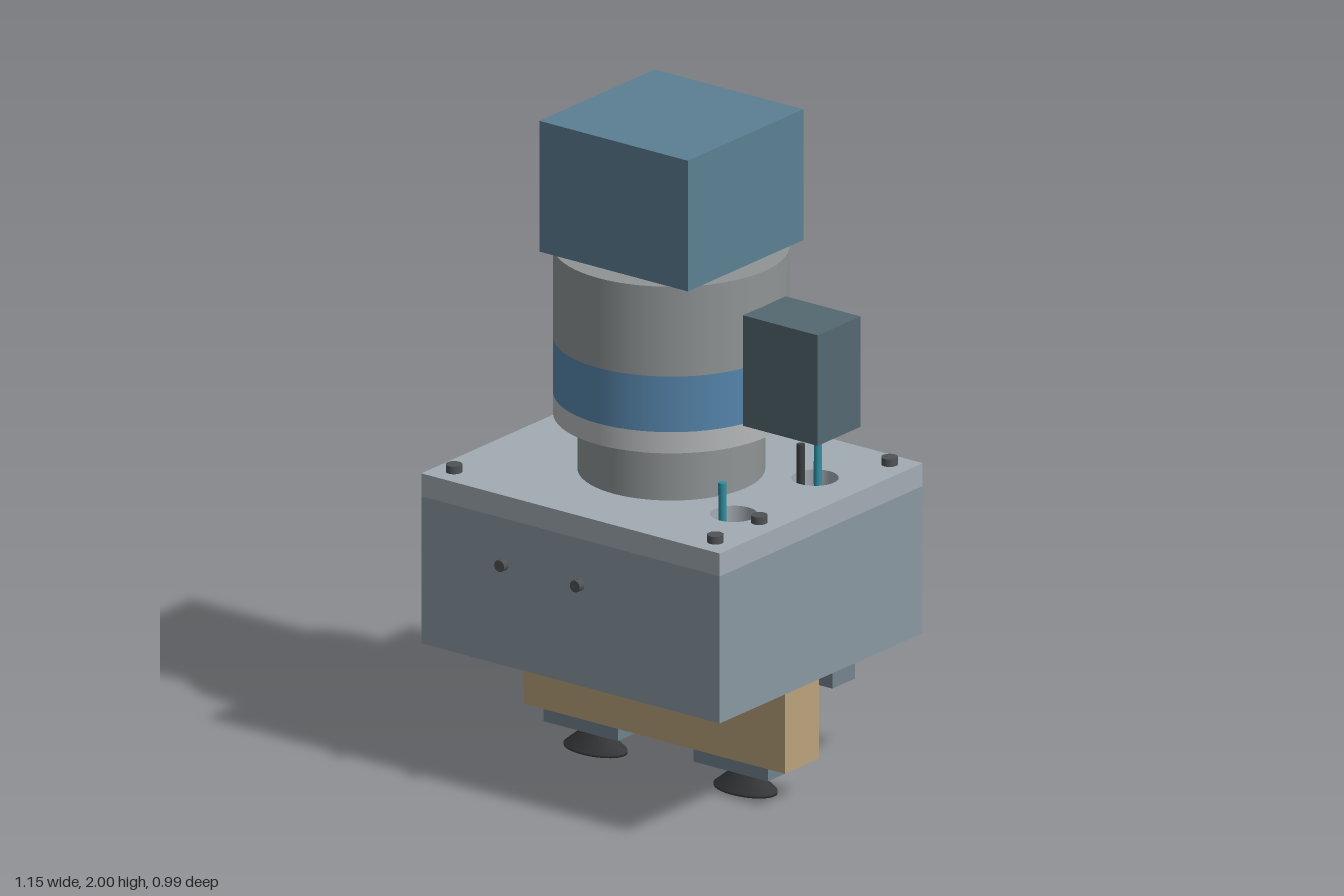
import * as THREE from 'three';

const CX = -0.035; // shared axis of motor and gripper

const mat = (color) => new THREE.MeshStandardMaterial({ color });
const M = {
  body: mat(0x8a98a2), plate: mat(0xa3abb3), steel: mat(0x8f9494), flange: mat(0xb5b8ba),
  band: mat(0x5685ab), cube: mat(0x5b7f93), terminal: mat(0x546871), wood: mat(0xbba37c),
  lightWood: mat(0xdcc79c), pad: mat(0x6f828c), bracket: mat(0x76838d), bolt: mat(0x505356),
  rubber: mat(0x343638), hole: mat(0x3a3c3e), hose: mat(0x2f8fa3), cable: mat(0x3c3f41), fitting: mat(0x4a86ad),
};

export function createModel() {
  const model = new THREE.Group();

  const add = (name, geometry, material, x = 0, y = 0, z = 0) => {
    const mesh = new THREE.Mesh(geometry, material);
    mesh.name = name;
    mesh.position.set(x, y, z);
    model.add(mesh);
    return mesh;
  };
  // box and upright cylinder given by their extents
  const box = (name, m, x0, x1, y0, y1, z0, z1) =>
    add(name, new THREE.BoxGeometry(x1 - x0, y1 - y0, z1 - z0), m, (x0 + x1) / 2, (y0 + y1) / 2, (z0 + z1) / 2);
  const cyl = (name, m, r, y0, y1, x, z, sides = 24) =>
    add(name, new THREE.CylinderGeometry(r, r, y1 - y0, sides), m, x, (y0 + y1) / 2, z);
  // flat slab seen from above, with holes, between two heights
  const slab = (name, m, x0, x1, z0, z1, y0, y1, cut) => {
    const s = new THREE.Shape([[x0, -z1], [x1, -z1], [x1, -z0], [x0, -z0]].map(([a, b]) => new THREE.Vector2(a, b)));
    s.holes.push(...cut);
    const g = new THREE.ExtrudeGeometry(s, { depth: y1 - y0, bevelEnabled: false, curveSegments: 32 });
    return add(name, g.rotateX(-Math.PI / 2), m, 0, y0, 0);
  };
  const roundCut = (x, z, r) => new THREE.Path().absarc(x, -z, r, 0, Math.PI * 2, true);

  // housing: walls, floor and a lid with two cable openings
  const wall = new THREE.Path([[-0.545, -0.445], [-0.545, 0.445], [0.48, 0.445], [0.48, -0.445]]
    .map(([a, b]) => new THREE.Vector2(a, b)));
  slab('housingWalls', M.body, -0.575, 0.51, -0.475, 0.475, 0.4, 0.85, [wall]);
  box('housingFloor', M.body, -0.55, 0.485, 0.4, 0.43, -0.45, 0.45);
  slab('housingLid', M.plate, -0.575, 0.51, -0.475, 0.475, 0.85, 0.92,
    [roundCut(0.34, -0.19, 0.068), roundCut(0.34, 0.19, 0.068)]);
  box('innerCarrier', M.body, -0.5, 0.44, 0.43, 0.66, -0.15, 0.15);
  for (const [x, z] of [[0.283, -0.21], [0.395, -0.21]]) cyl('innerBolt', M.bolt, 0.024, 0.43, 0.5, x, z);
  for (const z of [-0.135, 0.13]) cyl('innerBolt', M.bolt, 0.024, 0.66, 0.69, 0.37, z);

  // lid bolts
  for (const [x, z] of [[-0.51, -0.41], [0.44, -0.41], [-0.51, -0.205], [0.44, 0.2], [-0.51, 0.405], [0.44, 0.405]])
    cyl('lidBolt', M.bolt, 0.024, 0.91, 0.943, x, z);

  // side screws, front and back
  for (const [x, s] of [[-0.275, 1], [0, 1], [-0.07, -1], [0.2, -1]])
    add('sideScrew', new THREE.CylinderGeometry(0.018, 0.018, 0.04, 20).rotateX(Math.PI / 2), M.bolt, x, 0.71, s * 0.477);

  // hoses and cable rising out of the openings
  const line = (name, m, r, pts) => {
    const curve = new THREE.CatmullRomCurve3(pts.map((p) => new THREE.Vector3(...p)));
    add(name, new THREE.TubeGeometry(curve, 32, r, 12), m);
    const [x, y, z] = pts[pts.length - 1];
    cyl(name + 'End', m, r, y - 0.004, y, x, z, 12);
  };
  line('frontHose', M.hose, 0.012, [[0.12, 0.69, 0.22], [0.27, 0.72, 0.22], [0.322, 0.82, 0.222], [0.325, 0.92, 0.224], [0.325, 1.023, 0.225]]);
  line('backHose', M.hose, 0.012, [[0.34, 0.55, -0.21], [0.338, 0.7, -0.211], [0.33, 0.9, -0.216], [0.326, 1.023, -0.222]]);
  line('backCable', M.cable, 0.012, [[0.2, 0.7, -0.08], [0.275, 0.74, -0.14], [0.305, 0.83, -0.165], [0.307, 0.92, -0.166], [0.307, 1.023, -0.166]]);
  cyl('hoseFitting', M.fitting, 0.036, 0.5, 0.58, 0.34, -0.21, 6);
  cyl('fittingNeck', M.fitting, 0.022, 0.58, 0.64, 0.34, -0.21);

  // motor stack
  cyl('motorNeck', M.steel, 0.27, 0.92, 1.09, CX, 0, 64);
  cyl('motorFlange', M.flange, 0.34, 1.09, 1.155, CX, 0, 64);
  cyl('motorBand', M.band, 0.34, 1.155, 1.325, CX, 0, 64);
  cyl('motorBody', M.steel, 0.34, 1.325, 1.6, CX, 0, 64);
  for (let i = 0; i < 4; i++) {
    const a = (i * Math.PI) / 2;
    cyl('flangeHole', M.hole, 0.025, 1.088, 1.1, CX + 0.305 * Math.cos(a), 0.305 * Math.sin(a));
  }
  box('motorCap', M.cube, -0.305, 0.235, 1.6, 2, -0.27, 0.27);
  box('terminalBox', M.terminal, 0.303, 0.575, 1.155, 1.493, -0.1, 0.1);

  // gripper beam and its brackets
  box('beam', M.wood, -0.51, 0.44, 0.115, 0.4, -0.08, 0.08);
  cyl('beamPort', M.lightWood, 0.05, 0.113, 0.13, 0.03, 0, 32);
  box('frontBracket', M.bracket, -0.5, -0.32, 0.305, 0.4, 0.158, 0.263);
  box('backBracket', M.bracket, 0.25, 0.43, 0.305, 0.4, -0.26, -0.155);
  cyl('bracketHole', M.hole, 0.007, 0.303, 0.31, -0.41, 0.21, 12);
  cyl('bracketHole', M.hole, 0.007, 0.303, 0.31, 0.34, -0.208, 12);
  for (const x of [0.003, 0.085]) cyl('floorPin', M.bolt, 0.008, 0.38, 0.41, x, 0.125, 12);

  // oval suction cups on mounting pads
  const cupProfile = [[0, 0.08], [0.035, 0.08], [0.035, 0.065], [0.105, 0.008], [0.105, 0], [0.097, 0],
    [0.08, 0.014], [0.07, 0.01], [0.055, 0.024], [0.045, 0.02], [0.025, 0.036], [0, 0.036]]
    .map(([r, y]) => new THREE.Vector2(r, y)).reverse();
  for (const x of [-0.31, 0.235]) {
    box('cupPad', M.pad, x - 0.135, x + 0.135, 0.073, 0.115, -0.07, 0.07);
    for (const s of [-1, 1]) cyl('padScrew', M.hole, 0.018, 0.071, 0.08, x + s * 0.1, 0, 16);
    const cup = add('suctionCup', new THREE.LatheGeometry(cupProfile, 40), M.rubber, x, 0, 0);
    cup.material.side = THREE.DoubleSide;
    cup.scale.z = 0.62;
  }

  return model;
}
